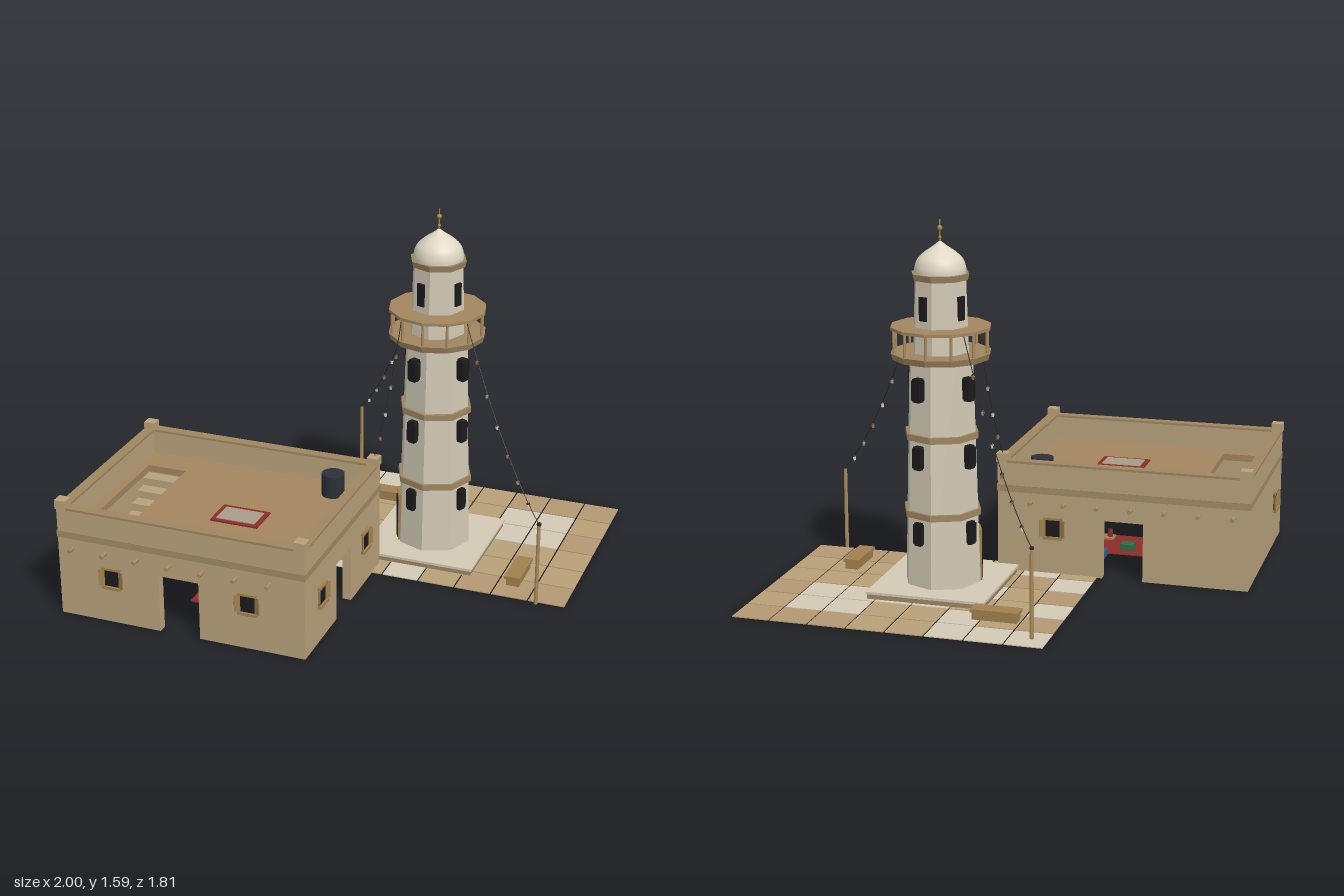
import * as THREE from 'three';

const mat = (color, flat = true, side = THREE.FrontSide) => new THREE.MeshStandardMaterial({ color, flatShading: flat, side });
const M = {
  wall: mat(0xb8a27c), band: mat(0xa38a64), roof: mat(0xa3865f), stone: mat(0xd3cab6), trim: mat(0x9f8660),
  wood: mat(0xa0804f), pole: mat(0xa98a5c), dark: mat(0x1b1b1d), line: mat(0x2a2622), cream: mat(0xe0d8c4, false),
  gold: mat(0xa8883c, false), red: mat(0x8c2a2a), beige: mat(0xa89c88), barrel: mat(0x2b3038, false),
  green: mat(0x2f6b45), blue: mat(0x2f5f8f), tan: mat(0xb8a078), clay: mat(0xb59874), orange: mat(0xb5713c),
};

export function createModel() {
  const root = new THREE.Group();
  const group = (name, parent = root) => {
    const g = new THREE.Group();
    g.name = name;
    parent.add(g);
    return g;
  };
  const add = (parent, name, geo, m, x = 0, y = 0, z = 0) => {
    const mesh = new THREE.Mesh(geo, m);
    mesh.name = name;
    mesh.position.set(x, y, z);
    parent.add(mesh);
    return mesh;
  };
  // box given by its limits
  const box = (p, name, m, x0, x1, y0, y1, z0, z1) =>
    add(p, name, new THREE.BoxGeometry(x1 - x0, y1 - y0, z1 - z0), m, (x0 + x1) / 2, (y0 + y1) / 2, (z0 + z1) / 2);
  // upright prism or cylinder
  const prism = (p, name, m, rTop, rBottom, y0, y1, sides, x = 0, z = 0) =>
    add(p, name, new THREE.CylinderGeometry(rTop, rBottom, y1 - y0, sides), m, x, (y0 + y1) / 2, z);

  // ---- House ----
  const house = group('house');
  const X0 = -0.99, X1 = 0.12, Z0 = -0.02, Z1 = 0.86, T = 0.04, H = 0.49, ROOF = 0.385;
  const wall = (name, u0, u1, door) => {
    const pts = [[u0, 0]];
    if (door) pts.push([door[0], 0], [door[0], 0.26], [door[1], 0.26], [door[1], 0]);
    pts.push([u1, 0], [u1, H], [u0, H]);
    const shape = new THREE.Shape(pts.map(([x, y]) => new THREE.Vector2(x, y)));
    return add(house, name, new THREE.ExtrudeGeometry(shape, { depth: T, bevelEnabled: false }), M.wall);
  };
  wall('frontWall', X0, X1, [-0.53, -0.35]).position.z = Z1 - T;
  wall('backWall', X0, X1, [-0.53, -0.35]).position.z = Z0;
  const rightWall = wall('eastWall', -Z1 + T, -Z0 - T, [-0.51, -0.335]);
  const leftWall = wall('westWall', -Z1 + T, -Z0 - T);
  rightWall.rotation.y = leftWall.rotation.y = Math.PI / 2;
  rightWall.position.x = X1 - T;
  leftWall.position.x = X0;

  // hollow rectangular ring running round the house
  const ring = (name, m, out, inset, y0, y1) => {
    box(house, name, m, X0 - out, X1 + out, y0, y1, Z1 - inset, Z1 + out);
    box(house, name, m, X0 - out, X1 + out, y0, y1, Z0 - out, Z0 + inset);
    box(house, name, m, X0 - out, X0 + inset, y0, y1, Z0 + inset, Z1 - inset);
    box(house, name, m, X1 - inset, X1 + out, y0, y1, Z0 + inset, Z1 - inset);
  };
  ring('wallBand', M.band, 0.003, 0.01, 0.36, 0.39);
  ring('parapetCap', M.trim, 0.004, T + 0.002, H, H + 0.01);
  for (const x of [X0 + 0.02, X1 - 0.02]) for (const z of [Z0 + 0.02, Z1 - 0.02])
    box(house, 'cornerBlock', M.tan, x - 0.025, x + 0.025, H, 0.53, z - 0.025, z + 0.025);

  // roof with the stairwell left open
  const roof = new THREE.Shape([[X0 + T, Z0 + T], [X1 - T, Z0 + T], [X1 - T, Z1 - T], [X0 + T, Z1 - T]].map(p => new THREE.Vector2(...p)));
  roof.holes.push(new THREE.Path([[-0.915, 0.15], [-0.915, 0.76], [-0.735, 0.76], [-0.735, 0.15]].map(p => new THREE.Vector2(...p))));
  const slab = add(house, 'roof', new THREE.ExtrudeGeometry(roof, { depth: 0.03, bevelEnabled: false }), M.roof, 0, ROOF, 0);
  slab.rotation.x = Math.PI / 2;
  for (let i = 0; i < 10; i++)
    box(house, 'stairStep', M.wall, -0.915, -0.735, 0, 0.035 * (i + 1), 0.76 - 0.061 * (i + 1), 0.76 - 0.061 * i);

  // beam ends on front and back
  for (let i = 0; i < 7; i++) for (const z of [Z0 - 0.015, Z1 + 0.015])
    add(house, 'beamEnd', new THREE.CylinderGeometry(0.009, 0.009, 0.05, 8), M.pole, -0.92 + 0.148 * i, 0.32, z).rotation.x = Math.PI / 2;

  // windows: pane, lintel, sill and two shutters
  const houseWindow = (x, z, turn) => {
    const g = group('houseWindow', house);
    g.position.set(x, 0.21, z);
    g.rotation.y = turn;
    box(g, 'pane', M.dark, -0.033, 0.033, -0.04, 0.04, -0.01, 0.006);
    box(g, 'lintel', M.wood, -0.042, 0.042, 0.038, 0.048, -0.01, 0.014);
    box(g, 'sill', M.wood, -0.042, 0.042, -0.05, -0.038, -0.01, 0.016);
    for (const s of [-1, 1])
      add(g, 'shutter', new THREE.BoxGeometry(0.026, 0.076, 0.005), M.wood, s * 0.044, 0, 0.01).rotation.y = -s * 0.5;
  };
  houseWindow(-0.745, Z1, 0);
  houseWindow(-0.13, Z1, 0);
  houseWindow(-0.13, Z0, Math.PI);
  houseWindow(X1, 0.68, Math.PI / 2);
  houseWindow(X1, 0.17, Math.PI / 2);
  houseWindow(X0, 0.67, -Math.PI / 2);

  // roof and room furnishings
  box(house, 'roofRug', M.red, -0.435, -0.22, ROOF, ROOF + 0.006, 0.4, 0.55);
  box(house, 'roofRugCentre', M.beige, -0.415, -0.24, ROOF + 0.006, ROOF + 0.009, 0.42, 0.53);
  prism(house, 'waterBarrel', M.barrel, 0.05, 0.05, ROOF, 0.485, 20, -0.04, 0.13);
  box(house, 'floorRug', M.red, -0.52, -0.12, 0, 0.004, 0.32, 0.59);
  box(house, 'greenCushion', M.green, -0.4, -0.34, 0.004, 0.032, 0.37, 0.43);
  box(house, 'blueCushion', M.blue, -0.3, -0.2, 0.004, 0.032, 0.22, 0.3);
  box(house, 'shelf', M.wood, -0.39, -0.2, 0.165, 0.173, 0.02, 0.08);
  prism(house, 'jar', M.red, 0.01, 0.012, 0.173, 0.205, 10, -0.37, 0.05);

  // ---- Courtyard paving ----
  const paving = group('paving');
  const kinds = { C: M.stone, T: M.tan, B: M.clay };
  ['CCCTTBBB', 'BTCTTCCT', 'CTTCCCCB', 'BTCTCTTT', 'CBTCTTTT', 'TCTCTBBB'].forEach((row, r) =>
    [...row].forEach((k, c) => {
      const x = -0.328 + c * 0.166, z = -0.907 + r * 0.165;
      box(paving, 'pavingTile', kinds[k], x, x + 0.159, 0, 0.004, z, z + 0.158);
    }));

  // ---- Tower ----
  const tower = group('tower');
  tower.position.set(0.28, 0, -0.3);
  box(tower, 'plinth', M.trim, -0.255, 0.255, 0, 0.025, -0.255, 0.255);
  box(tower, 'plinthTop', M.stone, -0.26, 0.26, 0.025, 0.036, -0.26, 0.26);
  prism(tower, 'shaft', M.stone, 0.14, 0.167, 0.036, 1.01, 8);
  prism(tower, 'lowerBand', M.trim, 0.17, 0.17, 0.335, 0.362, 8);
  prism(tower, 'upperBand', M.trim, 0.162, 0.162, 0.668, 0.695, 8);
  prism(tower, 'galleryFloor', M.trim, 0.214, 0.205, 1.005, 1.033, 12);
  prism(tower, 'galleryRail', M.roof, 0.214, 0.214, 1.13, 1.143, 12);
  for (let i = 0; i < 12; i++) {
    const a = i * Math.PI / 6;
    prism(tower, 'railPost', M.pole, 0.006, 0.006, 1.033, 1.13, 6, 0.2 * Math.sin(a), 0.2 * Math.cos(a));
  }
  prism(tower, 'upperStage', M.stone, 0.112, 0.122, 1.033, 1.34, 8);
  prism(tower, 'cornice', M.trim, 0.126, 0.12, 1.338, 1.365, 8);

  // pieces set on a facet, facing outwards at an angle
  const onFacet = (name, m, angle, r, y, w, h, d) => {
    const p = add(tower, name, new THREE.BoxGeometry(w, h, d), m, r * Math.sin(angle), y, r * Math.cos(angle));
    p.rotation.y = angle;
  };
  for (let k = 0; k < 4; k++) {
    const a = (-22.5 + 90 * k) * Math.PI / 180;
    for (const y of [0.27, 0.6, 0.89]) {
      onFacet('towerWindow', M.dark, a, 0.147, y, 0.044, 0.085, 0.04);
      onFacet('towerWindow', M.dark, a, 0.145, y, 0.034, 0.1, 0.04);
    }
    onFacet('lanternWindow', M.dark, a, 0.102, 1.225, 0.036, 0.1, 0.03);
  }
  const doorAngle = -67.5 * Math.PI / 180;
  onFacet('doorFrame', M.wood, doorAngle, 0.148, 0.148, 0.09, 0.224, 0.03);
  onFacet('door', M.dark, doorAngle, 0.152, 0.138, 0.06, 0.19, 0.03);

  // pointed dome and finial
  const domeCurve = new THREE.SplineCurve([[0.108, 0], [0.107, 0.025], [0.095, 0.058], [0.065, 0.088], [0.03, 0.112], [0.001, 0.135]].map(p => new THREE.Vector2(...p)));
  add(tower, 'dome', new THREE.LatheGeometry(domeCurve.getPoints(24), 32), M.cream, 0, 1.363, 0);
  prism(tower, 'finialRod', M.gold, 0.003, 0.004, 1.48, 1.585, 8);
  add(tower, 'finialBall', new THREE.SphereGeometry(0.011, 12, 8), M.gold, 0, 1.55, 0);
  add(tower, 'finialBead', new THREE.SphereGeometry(0.007, 12, 8), M.gold, 0, 1.51, 0);

  // ---- Benches ----
  const bench = (cx, cz, turn) => {
    const g = group('bench');
    g.position.set(cx, 0, cz);
    g.rotation.y = turn;
    box(g, 'benchSeat', M.wood, -0.102, 0.102, 0.036, 0.05, -0.036, 0.036);
    box(g, 'benchBase', M.wood, -0.095, 0.095, 0, 0.036, -0.029, 0.029);
  };
  bench(-0.06, -0.647, 0);
  bench(0.735, -0.115, Math.PI / 2);

  // ---- Lantern strings and their poles ----
  const lanternString = (x, y, z, count, sag) => {
    const g = group('lanternString');
    const end = new THREE.Vector3(x, y, z);
    const out = new THREE.Vector3(x - 0.28, 0, z + 0.3).setLength(0.2);
    const start = new THREE.Vector3(0.28, 1.13, -0.3).add(out);
    const mid = start.clone().lerp(end, 0.5);
    mid.y -= sag;
    const curve = new THREE.QuadraticBezierCurve3(start, mid, end);
    add(g, 'cord', new THREE.TubeGeometry(curve, 24, 0.002, 5), M.line);
    for (let i = 1; i <= count; i++) {
      const p = curve.getPoint(i / (count + 1));
      add(g, 'lantern', new THREE.CylinderGeometry(0.008, 0.006, 0.018, 8), [M.cream, M.orange, M.tan][i % 3], p.x, p.y - 0.013, p.z);
      add(g, 'lanternCap', new THREE.CylinderGeometry(0.006, 0.009, 0.006, 8), M.line, p.x, p.y - 0.002, p.z);
    }
  };
  for (const [x, z] of [[0.87, 0.085], [-0.26, -0.82]]) {
    prism(root, 'lanternPole', M.pole, 0.008, 0.009, 0, 0.38, 8, x, z);
    prism(root, 'poleCap', M.line, 0.01, 0.01, 0.376, 0.386, 8, x, z);
    lanternString(x, 0.38, z, 6, 0.15);
  }
  lanternString(0.1, 0.53, -0.01, 4, 0.1);

  return root;
}
